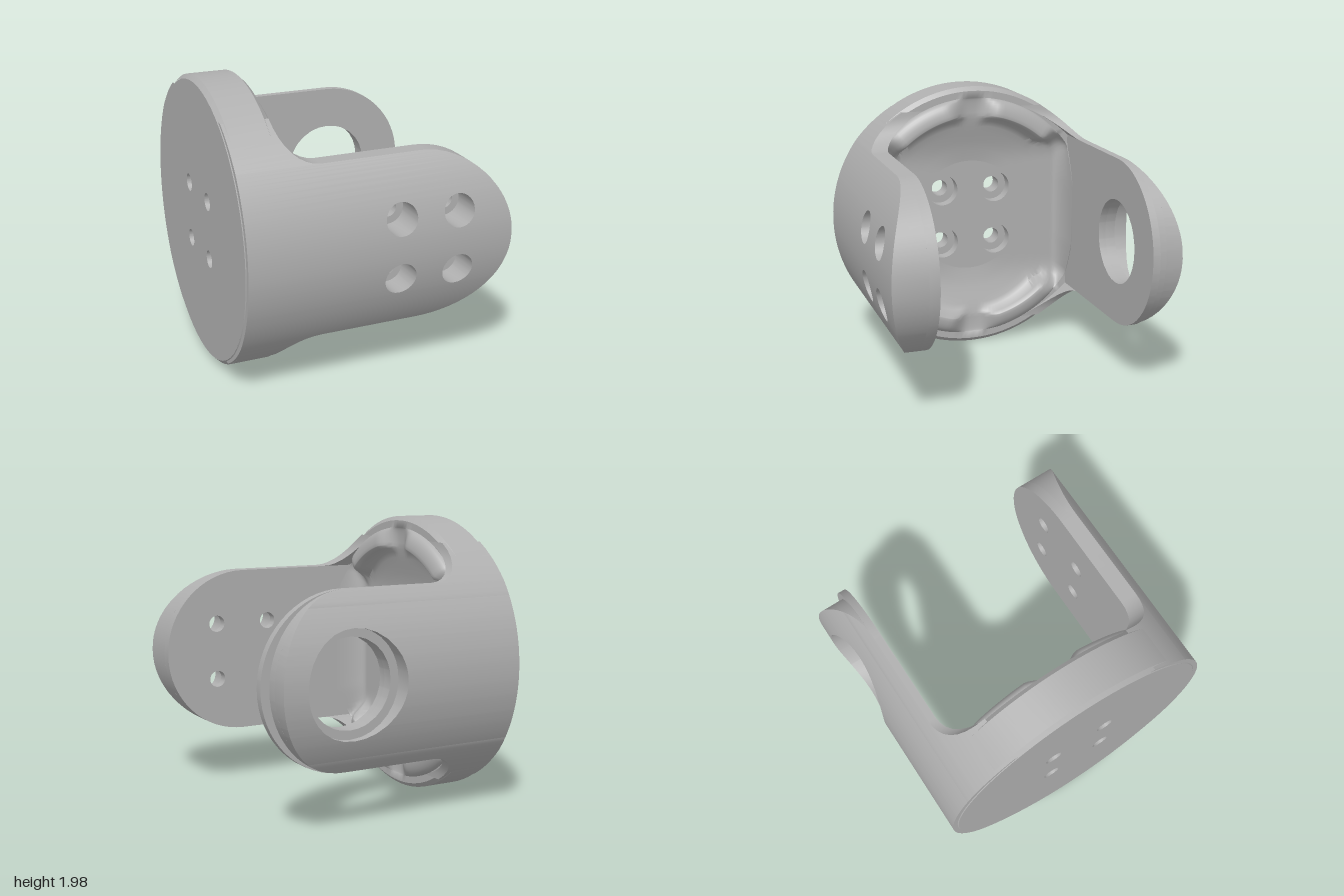
import * as THREE from 'three';
import { toCreasedNormals } from 'three/addons/utils/BufferGeometryUtils.js';

const CY = 0.99;          // height of the cylinder axis
const TIP = 0.33;         // x centre of the rounded arm ends
const HALF = 0.59;        // half height of the arms
const FIL = 0.24;         // fillet between arms and base disc
const BACK = -0.915, RIM = -0.6, FLOOR = -0.7;
const metal = new THREE.MeshStandardMaterial({ color: 0xb0b0b0 });
metal.name = 'grey metal';

const { smoothstep, lerp } = THREE.MathUtils;
const chord = (r, d) => Math.sqrt(Math.max(0, r * r - d * d));
const along = (d) => Math.max(0, (d - HALF) / FIL);   // 0..1 across the fillet
const outer = (d) => chord(1 - 0.015 * along(d), d);

function mesh(name, geometry, crease = 0.5) {
  const m = new THREE.Mesh(toCreasedNormals(geometry, crease), metal);
  m.name = name;
  return m;
}

// Arm layer, swept in horizontal strips: rounded outline with round holes,
// between the depths zIn(d) and zOut(d), where d is the distance from the axis.
function armLayer({ side, reach, holes, zIn, zOut, fillet }) {
  const pos = [];
  const tri = (a, b, c) => {
    const list = side > 0 ? [a, b, c] : [a, c, b];
    for (const p of list) pos.push(p[0], CY + p[1], p[2] * side);
  };
  const quad = (a, b, c, d) => { tri(a, b, c); tri(a, c, d); };

  // strip levels
  const levels = new Set();
  const add = (v) => levels.add(Math.round(v * 1e5) / 1e5);
  for (let k = -16; k <= 16; k++) add(HALF * Math.sin(k * Math.PI / 32));
  for (const h of holes) {
    for (let k = 0; k <= 14; k++) add(h.y + h.r * Math.cos(k * Math.PI / 14));
  }
  if (fillet) {
    for (let k = 1; k <= 8; k++) {
      const d = HALF + FIL * (1 - Math.cos(k * Math.PI / 16));
      add(d); add(-d);
    }
  }
  const ys = [...levels].sort((a, b) => a - b);

  const right = (y, mid) => Math.abs(mid) < HALF
    ? TIP + chord(HALF, y) * reach / HALF
    : RIM + FIL - chord(FIL, HALF + FIL - Math.abs(y));

  for (let i = 0; i + 1 < ys.length; i++) {
    const y0 = ys[i], y1 = ys[i + 1], mid = (y0 + y1) / 2;
    const cut = holes.filter((h) => Math.abs(mid - h.y) < h.r).sort((a, b) => a.x - b.x);
    const edges = (y) => [BACK,
      ...cut.flatMap((h) => [h.x - chord(h.r, y - h.y), h.x + chord(h.r, y - h.y)]),
      right(y, mid)];
    const e0 = edges(y0), e1 = edges(y1);
    const o0 = zOut(Math.abs(y0)), o1 = zOut(Math.abs(y1));
    const n0 = zIn(Math.abs(y0)), n1 = zIn(Math.abs(y1));
    for (let k = 0; k < e0.length; k += 2) {
      const [a0, b0, a1, b1] = [e0[k], e0[k + 1], e1[k], e1[k + 1]];
      quad([a0, y0, o0], [b0, y0, o0], [b1, y1, o1], [a1, y1, o1]);
      quad([b0, y0, n0], [a0, y0, n0], [a1, y1, n1], [b1, y1, n1]);
      quad([b0, y0, o0], [b0, y0, n0], [b1, y1, n1], [b1, y1, o1]);
      quad([a0, y0, n0], [a0, y0, o0], [a1, y1, o1], [a1, y1, n1]);
    }
  }
  // straight long edges
  const o = zOut(HALF), n = zIn(HALF), xa = fillet ? RIM + FIL : BACK;
  quad([xa, HALF, o], [TIP, HALF, o], [TIP, HALF, n], [xa, HALF, n]);
  quad([xa, -HALF, n], [TIP, -HALF, n], [TIP, -HALF, o], [xa, -HALF, o]);

  const g = new THREE.BufferGeometry();
  g.setAttribute('position', new THREE.Float32BufferAttribute(pos, 3));
  return g;
}

// Round plate with the four bolt holes, its axis along x
function plate(x0, x1, holeR) {
  const s = new THREE.Shape();
  s.absarc(0, 0, 0.96, 0, Math.PI * 2);
  for (const a of [-0.205, 0.205]) for (const b of [-0.205, 0.205]) {
    const p = new THREE.Path();
    p.absarc(a, b, holeR, 0, Math.PI * 2, true);
    s.holes.push(p);
  }
  const g = new THREE.ExtrudeGeometry(s, { depth: x1 - x0, bevelEnabled: false, curveSegments: 32 });
  return g.rotateY(Math.PI / 2).translate(x0, CY, 0);
}

// Pocket surface in rings from the rim inwards: a dished wall that swells into
// a soft crest in each corner, then a floor rising gently at top and bottom
function pocketSurface() {
  const N = 180, M = 8, F = 8, pos = [], idx = [], rows = M + F + 1;
  const floorX = (y) => FLOOR + 0.002 + 0.09 * smoothstep(Math.abs(y), 0.4, 0.85);
  for (let j = 0; j <= rows; j++) {
    for (let i = 0; i <= N; i++) {
      const t = i / N * Math.PI * 2, c = Math.cos(t), s = Math.sin(t);
      const v = Math.atan2(Math.abs(c), Math.abs(s));   // angle from vertical
      const crest = smoothstep(v, 0.04, 0.25) * (1 - smoothstep(v, 0.72, 0.92));
      const rim = Math.min(0.91, (c > 0 ? 0.69 : 0.75) / Math.max(1e-6, Math.abs(c)));
      const w = c > 0 ? 0.61 : 0.67;
      const square = Math.pow(Math.abs(c / w) ** 5 + Math.abs(s / 0.77) ** 5, -0.2);
      const foot = lerp(square, 0.79, crest);
      const top = RIM + 0.12 * Math.min(1, (0.91 - rim) / 0.12);
      let r = 0.96, x = RIM;
      if (j > M + 1) {
        const k = (j - M - 1) / F;
        r = lerp(foot, 0.42, k * k);
        const drop = crest * (1 - smoothstep(foot - r, 0, 0.06));
        x = lerp(floorX(r * s), RIM + 0.07, drop);
      } else if (j > 0) {
        const q = (j - 1) / M * Math.PI / 2;
        r = lerp(rim, foot, 1 - Math.cos(q));
        const dish = lerp(top, floorX(foot * s), Math.sin(q));
        x = lerp(dish, top + 0.07 * Math.sin(q), crest);
      }
      pos.push(x, CY + r * s, r * c);
      if (j < rows && i < N) {
        const a = j * (N + 1) + i, d = a + N + 1;
        idx.push(a, d, a + 1, a + 1, d, d + 1);
      }
    }
  }
  const g = new THREE.BufferGeometry();
  g.setAttribute('position', new THREE.Float32BufferAttribute(pos, 3));
  g.setIndex(idx);
  return g;
}

export function createModel() {
  const model = new THREE.Group();
  model.name = 'yokeBracket';

  // base disc
  const base = new THREE.Group();
  base.name = 'base';
  const profile = [[0.96, -0.92], [0.99, -0.89], [0.99, -0.63], [0.96, RIM]]
    .map(([r, x]) => new THREE.Vector2(r, x));
  const shell = new THREE.LatheGeometry(profile, 96).rotateZ(-Math.PI / 2).translate(0, CY, 0);
  base.add(
    mesh('baseShell', shell),
    mesh('backPlate', plate(-0.92, -0.79, 0.06)),
    mesh('pocketFloor', plate(-0.79, FLOOR, 0.115)),
    mesh('pocketSurface', pocketSurface(), 0.9));

  // inner arm face, curving into the disc rim across the fillet
  const inner = (z) => (d) => {
    const r = Math.hypot(z, HALF);
    return Math.min(z, chord(lerp(r, 0.91, Math.min(1, along(d))), d));
  };

  // front arm: four counterbored bolt holes
  const bolts = (r) => [0.125, 0.535].flatMap((x) => [-0.205, 0.205].map((y) => ({ x, y, r })));
  const step = (d) => (d < HALF - 1e-6 ? 0.76 : outer(d));
  const frontArm = new THREE.Group();
  frontArm.name = 'frontArm';
  frontArm.add(
    mesh('frontArmInner', armLayer({ side: 1, reach: HALF, holes: bolts(0.06),
      zIn: inner(0.69), zOut: step, fillet: true })),
    mesh('frontArmOuter', armLayer({ side: 1, reach: HALF, holes: bolts(0.11),
      zIn: step, zOut: outer })));

  // back arm: large stepped bore and a thin lip around the end
  const bore = (r) => [{ x: TIP, y: 0, r }];
  const level = (z) => (d) => Math.min(z, outer(d));
  const lip = level(outer(HALF)), ledge = level(0.88);
  const backArm = new THREE.Group();
  backArm.name = 'backArm';
  backArm.add(
    mesh('backArmLip', armLayer({ side: -1, reach: HALF, holes: bore(0.3),
      zIn: inner(0.755), zOut: lip, fillet: true })),
    mesh('backArmBody', armLayer({ side: -1, reach: 0.53, holes: bore(0.3),
      zIn: lip, zOut: ledge })),
    mesh('backArmOuter', armLayer({ side: -1, reach: 0.53, holes: bore(0.36),
      zIn: ledge, zOut: outer })));

  model.add(base, frontArm, backArm);
  return model;
}
